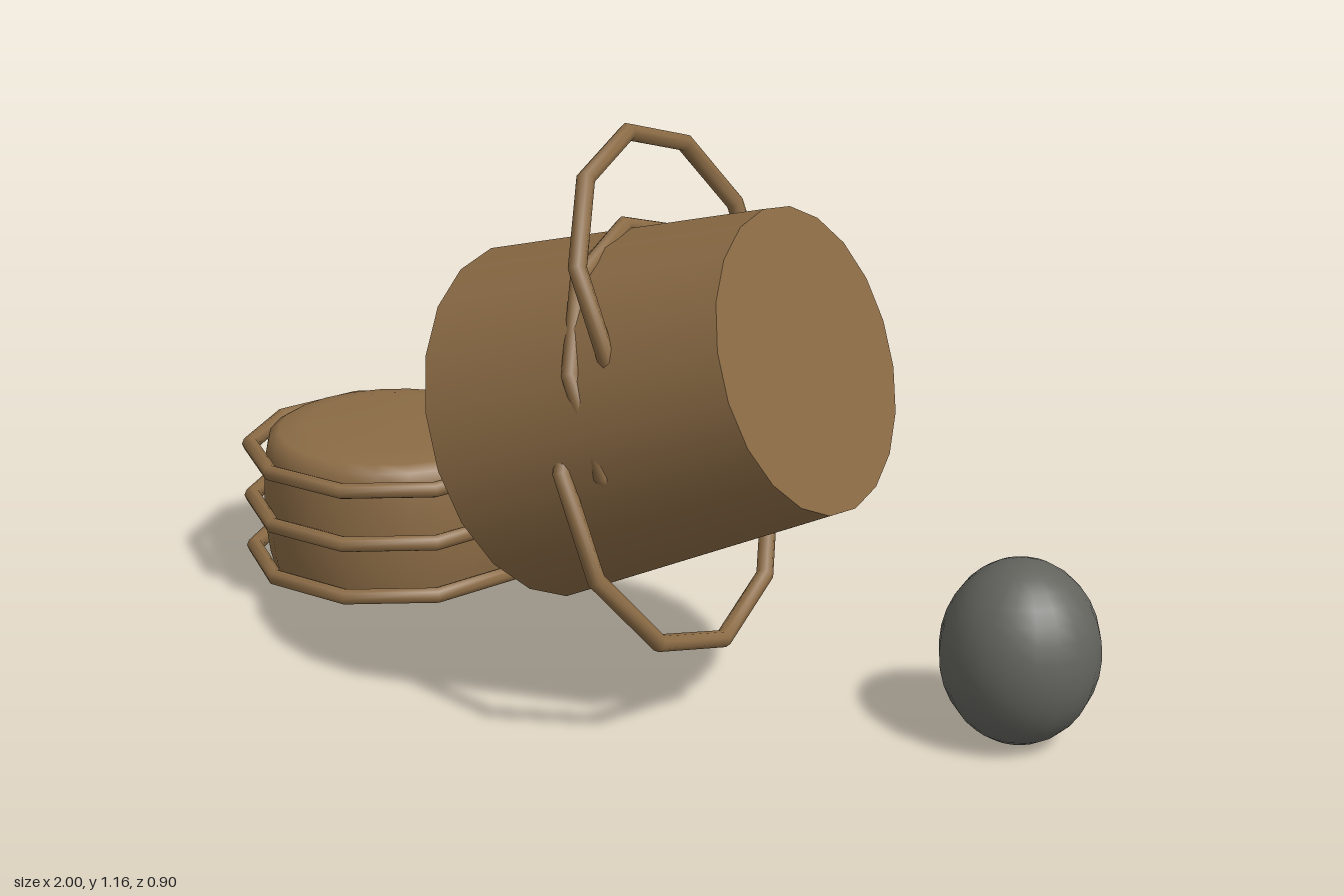
import * as THREE from 'three';

const wicker = new THREE.MeshStandardMaterial({ color: 0x8b6b45 });
wicker.name = 'wicker brown';
const stone = new THREE.MeshStandardMaterial({ color: 0x63635e });
stone.name = 'stone grey';

function part(name, geometry, material, parent) {
  const mesh = new THREE.Mesh(geometry, material);
  mesh.name = name;
  parent.add(mesh);
  return mesh;
}

// Ten-sided hoop lying flat, corners on the x axis
function hoop(name, radius, x, y, parent) {
  const geometry = new THREE.TorusGeometry(radius, 0.0175, 8, 10).rotateX(Math.PI / 2);
  part(name, geometry, wicker, parent).position.set(x, y, 0);
}

export function createModel() {
  const model = new THREE.Group();
  model.name = 'basketsAndStone';

  // Low round basket with softened rims and three hoops
  const basket = new THREE.Group();
  basket.name = 'lowBasket';
  basket.position.set(-0.668, 0.19, -0.14);
  model.add(basket);
  const half = [[0, 0.172], [0.19, 0.169], [0.25, 0.158], [0.272, 0.145], [0.279, 0.115], [0.285, 0.06]];
  const profile = [
    ...half.map(([r, y]) => new THREE.Vector2(r, -y)),
    new THREE.Vector2(0.287, 0),
    ...half.slice().reverse().map(([r, y]) => new THREE.Vector2(r, y)),
  ];
  part('basketBody', new THREE.LatheGeometry(profile, 24), wicker, basket);
  [-0.12, 0, 0.12].forEach((y, i) => hoop('basketHoop' + (i + 1), 0.314, 0, y, basket));

  // Tapered tub lying tilted, with three offset hoops sunk into it
  const length = 0.633;
  const tub = new THREE.Group();
  tub.name = 'tiltedTub';
  tub.position.set(0.2025, 0.66, 0.095);
  tub.rotation.z = -THREE.MathUtils.degToRad(68.8);
  model.add(tub);
  part('tubBody', new THREE.CylinderGeometry(0.289, 0.354, length, 20), wicker, tub);
  const hoops = [[0.289, -0.205, 0.397], [0.313, -0.015, 0.325], [0.335, 0.163, 0.253]];
  hoops.forEach(([r, x, t], i) => hoop('tubHoop' + (i + 1), r, x, t - length / 2, tub));

  // Egg-shaped stone
  const egg = part('stone', new THREE.SphereGeometry(1, 20, 16), stone, model);
  egg.scale.set(0.155, 0.184, 0.155);
  egg.position.set(0.842, 0.189, -0.138);

  return model;
}
